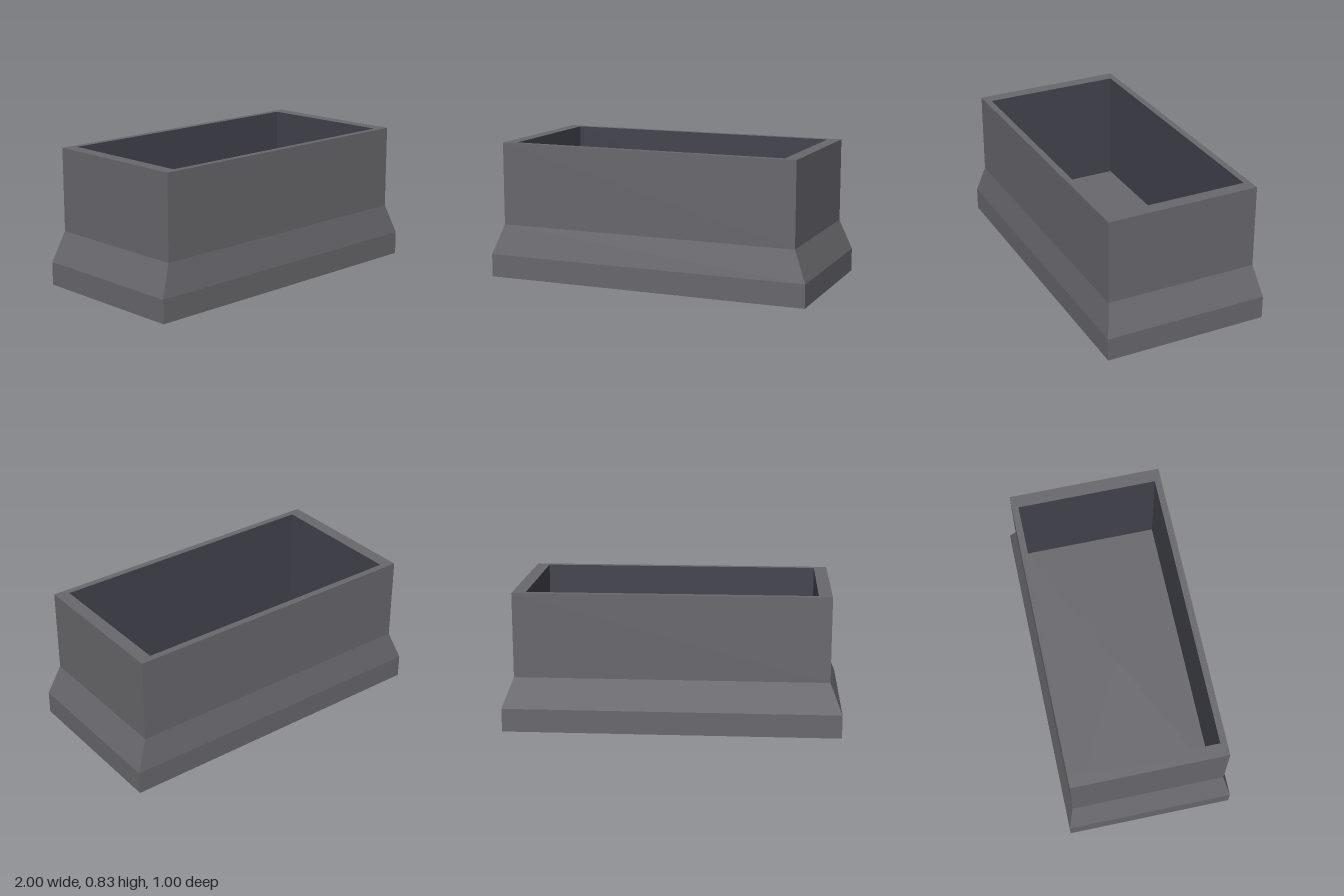
import * as THREE from 'three';

const FLOOR = 0.14;   // cavity floor height
const TOP = 0.83;     // rim height
const INNER = 0.847;  // cavity half width

// Four-sided lathe, twice as wide as deep; profile is [half width, height]
function boxLathe(name, profile, material) {
  const points = profile.map(([r, y]) => new THREE.Vector2(r * Math.SQRT2, y));
  const geometry = new THREE.LatheGeometry(points, 4, Math.PI / 4)
    .scale(1, 1, 0.5)
    .toNonIndexed();
  geometry.computeVertexNormals();
  const mesh = new THREE.Mesh(geometry, material);
  mesh.name = name;
  return mesh;
}

export function createModel() {
  const grey = new THREE.MeshStandardMaterial({ color: 0x68686d });
  grey.name = 'stone grey';
  const dark = new THREE.MeshStandardMaterial({ color: 0x42424d });
  dark.name = 'dark inner grey';

  const model = new THREE.Group();
  model.name = 'planterBox';

  // Underside, plinth, sloped shoulder, upright walls and flat rim
  model.add(boxLathe('outerShell', [
    [0, 0], [1, 0], [1, 0.14], [0.926, 0.325], [0.926, TOP], [INNER, TOP],
  ], grey));

  // Cavity walls and floor
  model.add(boxLathe('innerWalls', [[INNER, TOP], [INNER, FLOOR]], dark));
  model.add(boxLathe('innerFloor', [[INNER, FLOOR], [0, FLOOR]], grey));

  return model;
}
